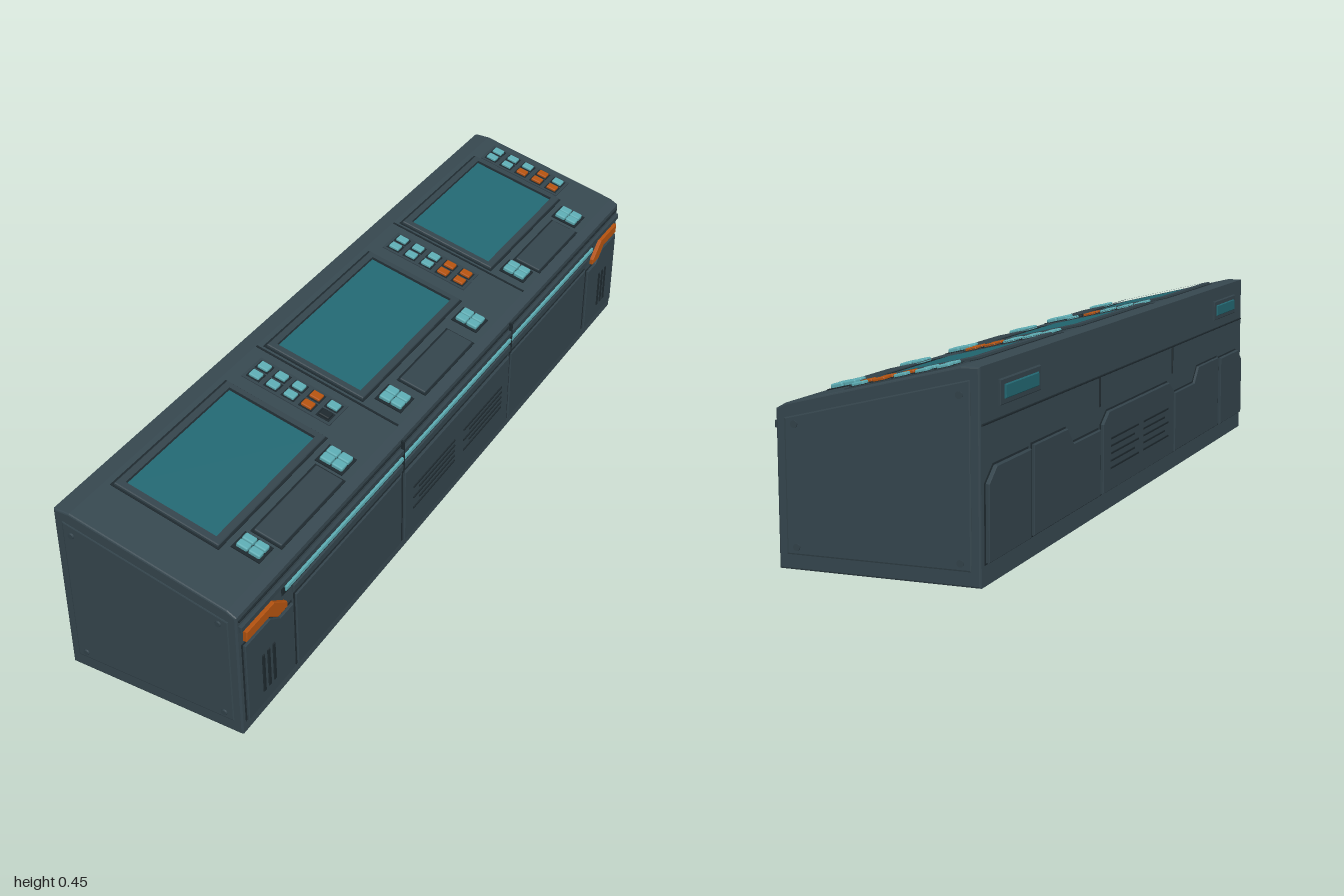
import * as THREE from 'three';
import { RoundedBoxGeometry } from 'three/addons/geometries/RoundedBoxGeometry.js';

const mat = (name, color, extra = {}) => Object.assign(new THREE.MeshStandardMaterial({ color, ...extra }), { name });

export function createModel() {
  const M = {
    body: mat('slate hull', 0x36474f),
    panel: mat('slate panel', 0x33434b),
    seam: mat('dark seam', 0x1d282d),
    screen: mat('teal screen', 0x226771),
    light: mat('pale cyan light', 0x5cabb2),
    orange: mat('orange accent', 0xb3520f),
  };
  const root = new THREE.Group();
  root.name = 'controlConsole';
  const add = (parent, name, geo, material, x = 0, y = 0, z = 0) => {
    const m = new THREE.Mesh(geo, material);
    m.name = name;
    m.position.set(x, y, z);
    parent.add(m);
    return m;
  };
  const shapeOf = (pts) => new THREE.Shape(pts.map(([x, y]) => new THREE.Vector2(x, y)));

  // Hull: sloped cross-section run along z
  const bev = 0.004;
  const hull = new THREE.ExtrudeGeometry(shapeOf([
    [-0.224, 0.004], [0.227, 0.004], [0.227, 0.338], [0.207, 0.349], [-0.188, 0.445], [-0.224, 0.445],
  ]), { depth: 1.98, bevelThickness: bev, bevelSize: bev, bevelSegments: 2 });
  add(root, 'hull', hull.translate(0, 0, -0.99), M.body);

  // Deck: a group lying on the slope, its local y is the surface normal
  const slope = Math.atan(0.0955 / 0.395), cos = Math.cos(slope);
  const deck = new THREE.Group();
  deck.name = 'deck';
  deck.position.set(-0.188, 0.4492, 0);
  deck.rotation.z = -slope;
  root.add(deck);
  const deckPlate = (name, x0, x1, z0, z1, h, material, r = 0) => {
    const w = (x1 - x0) / cos, d = z1 - z0, t = h + 0.004;
    const geo = r ? new RoundedBoxGeometry(w, t, d, 2, r) : new THREE.BoxGeometry(w, t, d);
    return add(deck, name, geo, material, ((x0 + x1) / 2 + 0.188) / cos, h - t / 2, (z0 + z1) / 2);
  };

  // Raised frame with a hole round each screen
  const frame = (x0, x1, z0, z1, b, h) => {
    const g = new THREE.Group();
    const rect = (p, o) => {
      const a = (x0 + 0.188) / cos - o, c = (x1 + 0.188) / cos + o;
      return [[a, -z0 + o], [c, -z0 + o], [c, -z1 - o], [a, -z1 - o]];
    };
    const s = shapeOf(rect(null, b));
    s.holes.push(new THREE.Path(rect(null, 0).map(([x, y]) => new THREE.Vector2(x, y))));
    const geo = new THREE.ExtrudeGeometry(s, { depth: h, bevelThickness: 0.002, bevelSize: 0.002, bevelSegments: 1 });
    add(g, 'screenFrame', geo.rotateX(-Math.PI / 2), M.panel);
    g.name = 'screenSurround';
    deck.add(g);
  };

  // Three stations: screen, control pads and a sunken tray
  const stations = [
    { s: [-0.845, -0.455], pads: [[-0.84, -0.785], [-0.505, -0.455]], tray: [-0.76, -0.525] },
    { s: [-0.235, 0.225], pads: [[-0.235, -0.18], [0.16, 0.215]], tray: [-0.13, 0.12] },
    { s: [0.44, 0.84], pads: [[0.435, 0.49], [0.79, 0.835]], tray: [0.51, 0.77] },
  ];
  for (const { s, pads, tray } of stations) {
    deckPlate('screenSeam', -0.174, 0.105, s[0] - 0.026, s[1] + 0.026, 0.001, M.seam);
    deckPlate('screen', -0.148, 0.082, s[0], s[1], 0.003, M.screen);
    frame(-0.15, 0.083, s[0] - 0.003, s[1] + 0.003, 0.016, 0.006);
    for (const [a, b] of pads) {
      deckPlate('padSeam', 0.119, 0.191, a - 0.006, b + 0.006, 0.002, M.seam);
      for (const i of [0, 1]) for (const j of [0, 1]) {
        const w = 0.029, d = (b - a) / 2;
        deckPlate('padKey', 0.125 + i * 0.031, 0.125 + i * 0.031 + w, a + j * d, a + (j + 1) * d - 0.002, 0.011, M.light, 0.004);
      }
    }
    deckPlate('traySeam', 0.126, 0.206, tray[0] - 0.005, tray[1] + 0.005, 0.0015, M.seam);
    deckPlate('tray', 0.131, 0.201, tray[0], tray[1], 0.006, M.panel, 0.003);
  }

  // Button banks: c is cyan, o is orange, d is dark
  const keyMat = { c: M.light, o: M.orange, d: M.seam };
  const banks = [[-0.94, 'cccoc', 'ccooo'], [-0.365, 'cccoo', 'cccoo'], [0.315, 'cccoc', 'cccod']];
  for (const [z, ...rows] of banks) {
    deckPlate('buttonBed', -0.155, 0.087, z - 0.025, z + 0.062, 0.002, M.panel);
    rows.forEach((row, r) => [...row].forEach((k, i) => {
      const x = -0.13 + i * 0.048, zz = z + r * 0.038;
      deckPlate('buttonRim', x - 0.018, x + 0.018, zz - 0.016, zz + 0.016, 0.003, M.seam);
      deckPlate('button', x - 0.014, x + 0.014, zz - 0.012, zz + 0.012, 0.009, keyMat[k], 0.003);
    }));
  }
  for (const z of [-0.418, 0.262]) deckPlate('deckSeam', -0.186, 0.207, z - 0.003, z + 0.003, 0.001, M.seam);

  // Side plates: outline in (z, y), standing out from the hull by depth
  const sidePlate = (name, side, pts, depth, material, grow = 0.002) => {
    const geo = new THREE.ExtrudeGeometry(shapeOf(pts.map(([z, y]) => [-side * z, y])),
      { depth: depth - 0.002, bevelThickness: 0.002, bevelSize: grow, bevelSegments: 1 });
    geo.rotateY(side * Math.PI / 2);
    return add(root, name, geo, material, side > 0 ? 0.231 : -0.228);
  };
  const rect = (z0, z1, y0, y1) => [[z0, y0], [z1, y0], [z1, y1], [z0, y1]];
  const flip = (pts, k) => pts.map(([z, y]) => [z * k, y]);
  const panel = (name, side, pts, depth) => {
    sidePlate(name + 'Seam', side, pts, 0.0025, M.seam, 0.006);
    sidePlate(name, side, pts, depth, M.panel);
  };
  const vent = (side, z0, z1, y0, y1, n) => {
    const step = (y1 - y0) / n;
    for (let i = 0; i < n; i++) {
      const y = y0 + i * step;
      sidePlate('ventSlot', side, rect(z0, z1 - (i % 2) * 0.03, y, y + step * 0.22), 0.0105, M.seam, 0.001);
    }
  };

  // Operator side (+x): panels, light strip and orange corner brackets
  sidePlate('ledgeSeam', 1, rect(-0.985, 0.985, 0.325, 0.328), 0.003, M.seam, 0.001);
  sidePlate('lightGroove', 1, rect(-0.82, 0.82, 0.27, 0.302), 0.003, M.seam);
  sidePlate('lightStrip', 1, rect(-0.81, 0.81, 0.28, 0.289), 0.008, M.light);
  sidePlate('ledgeRail', 1, rect(-0.985, 0.985, 0.3, 0.312), 0.008, M.panel);
  sidePlate('lowerRail', 1, rect(-0.78, 0.78, 0.252, 0.268), 0.007, M.panel);
  panel('middlePanel', 1, rect(-0.28, 0.28, 0.03, 0.235), 0.008);
  vent(1, 0.025, 0.24, 0.1, 0.18, 5);
  vent(1, -0.24, -0.025, 0.1, 0.18, 5);
  for (const k of [-1, 1]) {
    panel('sidePanel', 1, flip(rect(0.298, 0.77, 0.03, 0.235), k), 0.006);
    panel('cornerPanel', 1, flip([[0.79, 0.035], [0.975, 0.035], [0.975, 0.25], [0.88, 0.25], [0.84, 0.222], [0.79, 0.222]], k), 0.008);
    sidePlate('cornerBracket', 1, flip([[0.97, 0.287], [0.865, 0.287], [0.815, 0.25], [0.815, 0.238], [0.852, 0.238], [0.884, 0.264], [0.97, 0.264]], k), 0.01, M.orange);
    for (let i = 0; i < 3; i++) {
      sidePlate('cornerSlot', 1, flip(rect(0.868 + i * 0.021, 0.876 + i * 0.021, 0.07, 0.175), k), 0.0105, M.seam, 0.001);
    }
    sidePlate('ledgeJoint', 1, flip(rect(0.287, 0.291, 0.245, 0.335), k), 0.0085, M.seam, 0.001);
  }

  // Rear side (-x): stepped panels, vents and marker lamps
  panel('rearMiddlePanel', -1, [[-0.28, 0.05], [0.28, 0.05], [0.28, 0.215], [0.24, 0.24], [-0.24, 0.24], [-0.28, 0.215]], 0.009);
  vent(-1, -0.23, -0.02, 0.1, 0.19, 5);
  vent(-1, 0.02, 0.23, 0.1, 0.19, 5);
  for (const k of [-1, 1]) {
    panel('rearSidePanel', -1, flip([[0.3, 0.05], [0.72, 0.05], [0.72, 0.245], [0.52, 0.245], [0.48, 0.205], [0.3, 0.205]], k), 0.008);
    panel('rearCornerPanel', -1, flip([[0.745, 0.05], [0.97, 0.05], [0.97, 0.21], [0.93, 0.24], [0.745, 0.24]], k), 0.01);
    sidePlate('markerLampSeat', -1, flip(rect(0.68, 0.9, 0.36, 0.41), k), 0.006, M.panel);
    sidePlate('markerLamp', -1, flip(rect(0.7, 0.88, 0.372, 0.398), k), 0.01, M.screen);
    sidePlate('rearJoint', -1, flip(rect(0.287, 0.291, 0.26, 0.33), k), 0.003, M.seam, 0.001);
  }
  sidePlate('rearSeam', -1, rect(-0.985, 0.985, 0.33, 0.333), 0.003, M.seam, 0.001);

  // End caps: raised plate with corner bolts, and a skirt below
  const capPts = [[-0.205, 0.036], [0.208, 0.036], [0.208, 0.32], [-0.205, 0.42]];
  for (const k of [-1, 1]) {
    const end = new THREE.Group();
    end.name = k > 0 ? 'frontEnd' : 'backEnd';
    root.add(end);
    const cap = new THREE.ExtrudeGeometry(shapeOf(capPts.map(([x, y]) => [x * k, y])),
      { depth: 0.001, bevelThickness: 0.001, bevelSize: 0.003, bevelSegments: 1 });
    if (k < 0) cap.rotateY(Math.PI);
    add(end, 'endPlate', cap, M.body, 0, 0, k * 0.994);
    for (const [x, y] of [[-0.185, 0.392], [-0.185, 0.05], [0.187, 0.05], [0.187, 0.31]]) {
      add(end, 'bolt', new THREE.CylinderGeometry(0.007, 0.008, 0.006, 12).rotateX(Math.PI / 2), M.panel, x, y, k * 0.997);
    }
  }
  return root;
}
